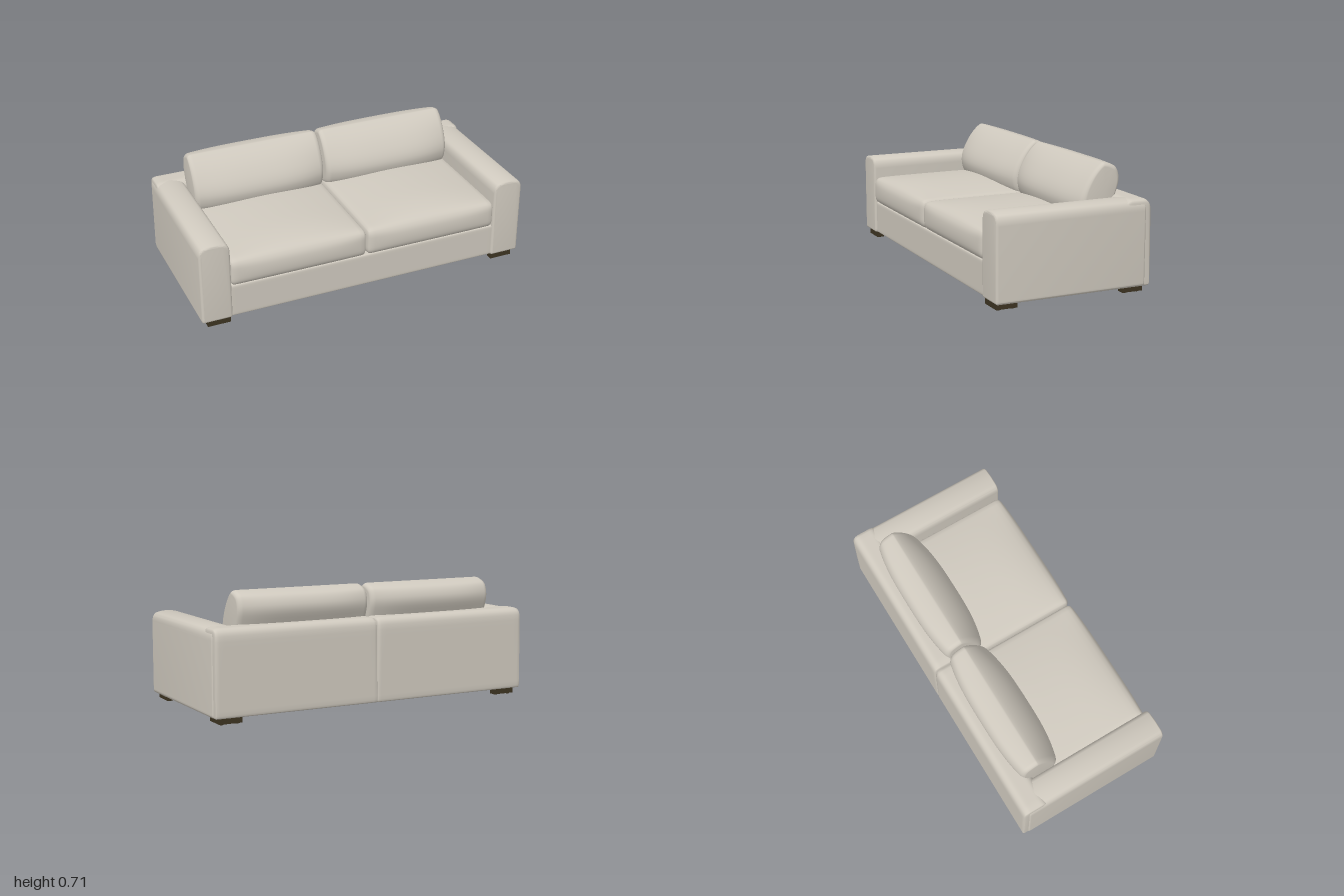
import * as THREE from 'three';
import { mergeVertices, toCreasedNormals } from 'three/addons/utils/BufferGeometryUtils.js';

const fabric = new THREE.MeshStandardMaterial({ color: 0xcfc9be });
fabric.name = 'warm grey fabric';
const wood = new THREE.MeshStandardMaterial({ color: 0x3d3422 });
wood.name = 'dark wood';

function add(parent, name, geometry, material) {
  const mesh = new THREE.Mesh(geometry, material);
  mesh.name = name;
  parent.add(mesh);
  return mesh;
}

// Upholstered block between two corners, with a rounding radius per axis.
// bottomK scales the radius at the bottom; crown and belly swell top and front.
function pad(min, max, radius, { bottomK = 1, crown = 0, belly = 0 } = {}) {
  const box = new THREE.BoxGeometry(2, 2, 2, 20, 16, 20);
  box.deleteAttribute('uv');
  box.deleteAttribute('normal');
  const geometry = mergeVertices(box);
  const pos = geometry.attributes.position;
  const half = max.map((m, i) => (m - min[i]) / 2);
  const mid = max.map((m, i) => (m + min[i]) / 2);
  for (let i = 0; i < pos.count; i++) {
    const u = [pos.getX(i), pos.getY(i), pos.getZ(i)].map(c => Math.sin(c * Math.PI / 2));
    const k = THREE.MathUtils.lerp(bottomK, 1, (u[1] + 1) / 2);
    const r = radius.map(v => v * k);
    const inner = u.map((c, a) => THREE.MathUtils.clamp(c * half[a], r[a] - half[a], half[a] - r[a]));
    const dir = new THREE.Vector3(...u.map((c, a) => (c * half[a] - inner[a]) / r[a])).normalize().toArray();
    const p = inner.map((c, a) => c + dir[a] * r[a]);
    const [x, y, z] = p.map((c, a) => c / half[a]);
    p[1] += crown * (1 - x * x) * (1 - z ** 4) * Math.max(0, y);
    p[2] += belly * (1 - x ** 4) * (1 - y * y) * Math.max(0, z);
    pos.setXYZ(i, p[0] + mid[0], p[1] + mid[1], p[2] + mid[2]);
  }
  geometry.computeVertexNormals();
  return geometry;
}

// Arm: softly domed section run front to back with a small bevel
function armGeometry(width, bottom, top, back, front) {
  const b = 0.014, w = width / 2, r = 0.055, s = top - 0.012;
  const shape = new THREE.Shape();
  shape.moveTo(-w + 0.012, bottom);
  shape.lineTo(w - 0.012, bottom);
  shape.quadraticCurveTo(w, bottom, w, bottom + 0.02);
  shape.lineTo(w, s - r);
  shape.quadraticCurveTo(w, s, w - r * 0.7, s + 0.006);
  shape.quadraticCurveTo(0, top + 0.006, -w + r * 0.7, s + 0.006);
  shape.quadraticCurveTo(-w, s, -w, s - r);
  shape.lineTo(-w, bottom + 0.02);
  shape.quadraticCurveTo(-w, bottom, -w + 0.012, bottom);
  const geometry = new THREE.ExtrudeGeometry(shape, {
    depth: front - back - 2 * b, curveSegments: 10,
    bevelSize: b, bevelOffset: -b, bevelThickness: b, bevelSegments: 4,
  });
  geometry.translate(0, 0, back + b);
  return toCreasedNormals(geometry, 0.6);
}

// Leaning back cushion: a closed side profile (z, y) lofted along x
function backCushionGeometry(width) {
  const profile = new THREE.CatmullRomCurve3([
    [-0.13, 0.40], [-0.10, 0.47], [-0.11, 0.53], [-0.16, 0.61], [-0.22, 0.67],
    [-0.275, 0.704], [-0.29, 0.705], [-0.345, 0.693], [-0.39, 0.67],
    [-0.412, 0.61], [-0.385, 0.53], [-0.32, 0.42], [-0.22, 0.38],
  ].map(([z, y]) => new THREE.Vector3(0, y, z)), true).getPoints(52).slice(0, -1);
  const n = profile.length, cz = -0.275, cy = 0.55, h = width / 2, r = 0.03;
  const rings = [];
  for (let i = 0; i <= 4; i++) {
    const a = i / 4 * Math.PI / 2;
    rings.push([-h + r - r * Math.cos(a), r * (1 - Math.sin(a))]);
  }
  for (let i = 1; i < 16; i++) rings.push([(h - r) * (i / 8 - 1), 0]);
  for (let i = 4; i >= 0; i--) rings.push([-rings[i][0], rings[i][1]]);
  const vertices = [], index = [];
  for (const [x, inset] of rings) {
    const slim = 1 - 0.27 * Math.abs(x / h) ** 3;
    const shrink = 1 - inset / 0.16;
    for (const p of profile) {
      vertices.push(x, cy + (p.y - cy) * (1 - inset / 0.2), cz + (p.z - cz) * slim * shrink);
    }
  }
  for (let i = 0; i < rings.length - 1; i++) {
    for (let j = 0; j < n; j++) {
      const a = i * n + j, b = i * n + (j + 1) % n;
      index.push(a, a + n, b, b, a + n, b + n);
    }
  }
  // Slightly domed end panels
  const end = vertices.length / 3, last = (rings.length - 1) * n;
  vertices.push(-h - 0.006, cy, cz, h + 0.006, cy, cz);
  for (let j = 0; j < n; j++) {
    const k = (j + 1) % n;
    index.push(end, j, k, end + 1, last + k, last + j);
  }
  const geometry = new THREE.BufferGeometry();
  geometry.setAttribute('position', new THREE.Float32BufferAttribute(vertices, 3));
  geometry.setIndex(index);
  geometry.computeVertexNormals();
  return geometry;
}

export function createModel() {
  const sofa = new THREE.Group();
  sofa.name = 'sofa';

  // Base with front rail
  add(sofa, 'base', pad([-0.84, 0.04, -0.42], [0.84, 0.24, 0.445], [0.01, 0.012, 0.012]), fabric);

  const arm = armGeometry(0.18, 0.04, 0.525, -0.44, 0.457);
  const backCushion = backCushionGeometry(0.81);

  for (const side of [-1, 1]) {
    const label = side > 0 ? 'left' : 'right';
    const span = (a, b) => (side > 0 ? [a, b] : [-b, -a]);

    add(sofa, label + 'Arm', arm, fabric).position.x = side * 0.91;

    // Half of the back, meeting the other half at a centre seam
    const [b0, b1] = span(0, 0.995);
    add(sofa, label + 'BackPanel',
      pad([b0, 0.04, -0.472], [b1, 0.525, -0.31], [0.012, 0.06, 0.045], { bottomK: 0.3 }), fabric);

    // Seat cushion
    const [s0, s1] = span(0.002, 0.822);
    add(sofa, label + 'SeatCushion',
      pad([s0, 0.235, -0.33], [s1, 0.402, 0.457], [0.025, 0.045, 0.035], { crown: 0.04, belly: 0.016 }), fabric);

    add(sofa, label + 'BackCushion', backCushion, fabric).position.x = side * 0.413;

    // L-shaped corner feet with small glides
    for (const end of [-1, 1]) {
      const foot = new THREE.Group();
      foot.name = label + (end > 0 ? 'Front' : 'Back') + 'Foot';
      const long = add(foot, 'footAcross', new THREE.BoxGeometry(0.135, 0.036, 0.045), wood);
      long.position.set(side * 0.8975, 0.024, end * 0.42);
      const short = add(foot, 'footAlong', new THREE.BoxGeometry(0.045, 0.036, 0.08), wood);
      short.position.set(side * 0.9425, 0.024, end * 0.3585);
      for (const [x, z] of [[0.855, 0.42], [0.9425, 0.42], [0.9425, 0.34]]) {
        const glide = add(foot, 'glide', new THREE.CylinderGeometry(0.012, 0.01, 0.008, 12), wood);
        glide.position.set(side * x, 0.004, end * z);
      }
      sofa.add(foot);
    }
  }
  return sofa;
}
